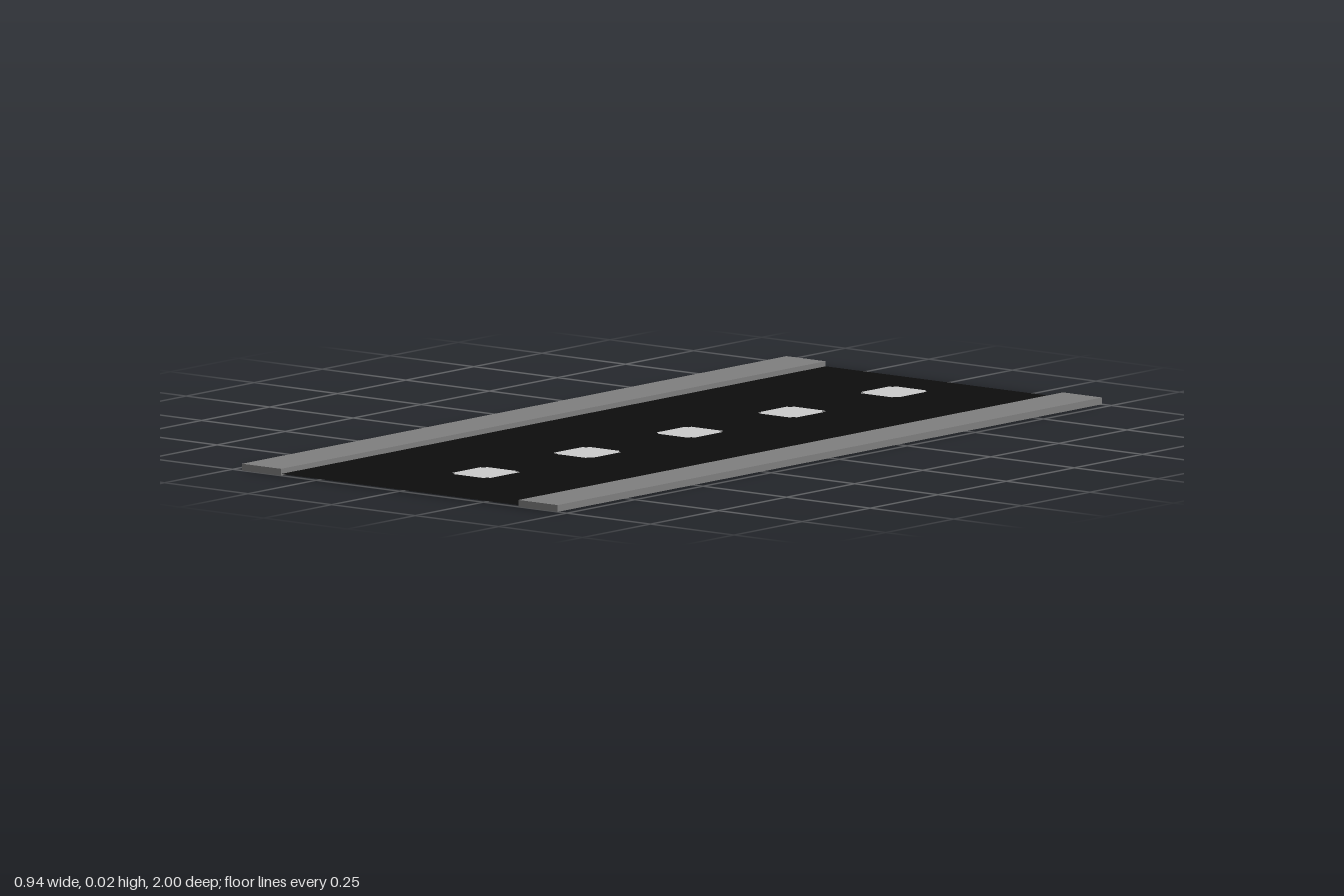
import * as THREE from 'three';

const ROAD_Y = 0.004, HALF_ROAD = 0.355, HALF_WIDTH = 0.472, CURB_H = 0.016;
const MARK_X = 0.058, MARK_Z = 0.064, NOTCH = 0.011;
const MARK_CENTRES = [-0.815, -0.44, -0.065, 0.31, 0.685];

// Corner points of a dash with stepped corners, centred at depth z
function dashPoints(z) {
  const a = MARK_X, b = MARK_Z, n = NOTCH;
  const outline = [
    [a - n, -b], [a - n, -b + n], [a, -b + n],
    [a, b - n], [a - n, b - n], [a - n, b],
    [-a + n, b], [-a + n, b - n], [-a, b - n],
    [-a, -b + n], [-a + n, -b + n], [-a + n, -b],
  ];
  // the shape plane's y becomes -z once laid flat
  return outline.map(([x, y]) => new THREE.Vector2(x, y - z));
}

// Lay a flat shape on the road plane, facing up
function flatMesh(name, shape, material) {
  const geometry = new THREE.ShapeGeometry(shape);
  geometry.rotateX(-Math.PI / 2);
  geometry.translate(0, ROAD_Y, 0);
  const mesh = new THREE.Mesh(geometry, material);
  mesh.name = name;
  return mesh;
}

export function createModel() {
  const asphalt = new THREE.MeshStandardMaterial({ color: 0x0d0d0d, side: THREE.DoubleSide });
  asphalt.name = 'asphalt black';
  const paint = new THREE.MeshStandardMaterial({ color: 0xcccccc, side: THREE.DoubleSide });
  paint.name = 'line white';
  const concrete = new THREE.MeshStandardMaterial({ color: 0x7f7f7f });
  concrete.name = 'concrete grey';

  const model = new THREE.Group();
  model.name = 'road';

  // Road surface, cut out where the dashes are
  const surface = new THREE.Shape([
    new THREE.Vector2(-HALF_ROAD, -1), new THREE.Vector2(HALF_ROAD, -1),
    new THREE.Vector2(HALF_ROAD, 1), new THREE.Vector2(-HALF_ROAD, 1),
  ]);
  for (const z of MARK_CENTRES) surface.holes.push(new THREE.Path(dashPoints(z)));
  model.add(flatMesh('roadSurface', surface, asphalt));

  // Centre line dashes, flush with the surface
  MARK_CENTRES.forEach((z, i) => {
    model.add(flatMesh(`centreDash${i + 1}`, new THREE.Shape(dashPoints(z)), paint));
  });

  // Raised sidewalks on both sides
  for (const side of [-1, 1]) {
    const walk = new THREE.Mesh(new THREE.BoxGeometry(HALF_WIDTH - HALF_ROAD, CURB_H, 2), concrete);
    walk.name = side > 0 ? 'leftSidewalk' : 'rightSidewalk';
    walk.position.set(side * (HALF_ROAD + HALF_WIDTH) / 2, CURB_H / 2, 0);
    model.add(walk);
  }
  return model;
}
